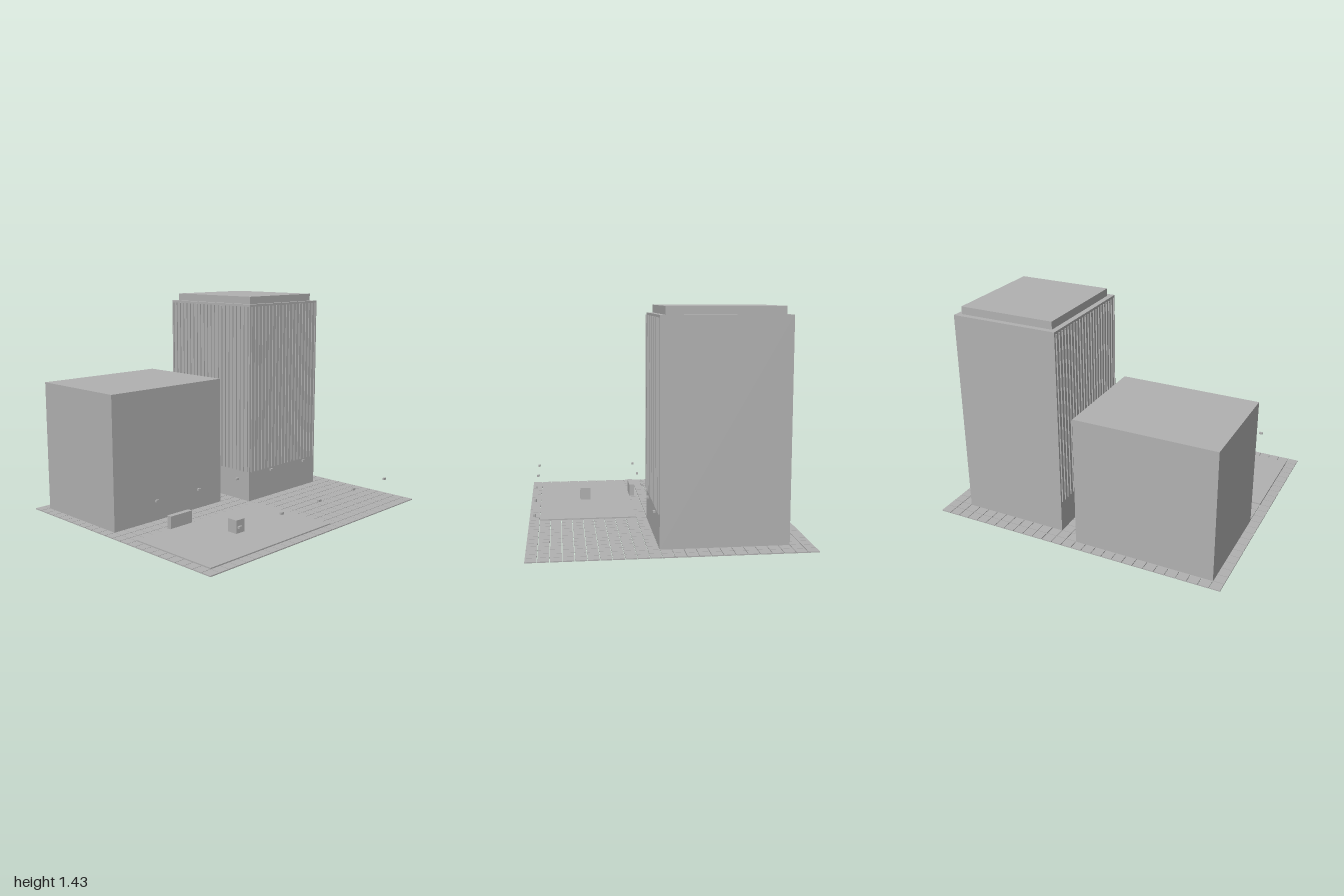
import * as THREE from 'three';
import { mergeGeometries } from 'three/addons/utils/BufferGeometryUtils.js';

// Box geometry from its minimum and maximum corners
function span(x0, x1, y0, y1, z0, z1) {
  return new THREE.BoxGeometry(x1 - x0, y1 - y0, z1 - z0)
    .translate((x0 + x1) / 2, (y0 + y1) / 2, (z0 + z1) / 2);
}

export function createModel() {
  const model = new THREE.Group();
  model.name = 'cityPlaza';
  const concrete = new THREE.MeshStandardMaterial({ color: 0xb2b2b2 });
  concrete.name = 'concreteGrey';

  const add = (name, geometry) => {
    const mesh = new THREE.Mesh(geometry, concrete);
    mesh.name = name;
    model.add(mesh);
  };

  // Paving: 28 x 24 square tiles with narrow open joints
  const u = 1 / 14;
  const half = u / 2 - 0.002;
  const tiles = [];
  for (let i = 0; i < 28; i++) {
    for (let j = 0; j < 24; j++) {
      const x = (i - 13.5) * u, z = (j - 11.5) * u;
      tiles.push(span(x - half, x + half, 0, 0.007, z - half, z + half));
    }
  }
  add('pavingTiles', mergeGeometries(tiles));

  // Buildings and raised platform
  add('lowBuilding', span(-13 * u, 0, 0.002, 0.877, -11 * u, -u));
  add('tower', span(2 * u, 12 * u, 0.002, 1.38, -10 * u, u));
  add('towerRoofCap', span(2.5 * u, 11.5 * u, 1.38, 1.43, -9.5 * u, 0.5 * u));
  add('platform', span(-13 * u, 2 * u, 0.002, 0.014, 2 * u, 11 * u));

  // Vertical fins on the tower's front and on its side facing the low building
  const fins = [];
  const pitch = u / 2, w = 0.0035;
  for (let i = 0; i < 20; i++) {
    const x = 2 * u + (i + 0.5) * pitch;
    fins.push(span(x - w, x + w, 0.215, 1.365, u - 0.004, u + 0.008));
  }
  for (let i = 0; i < 22; i++) {
    const z = -10 * u + (i + 0.5) * pitch;
    fins.push(span(2 * u - 0.008, 2 * u + 0.004, 0.215, 1.365, z - w, z + w));
  }
  add('towerFins', mergeGeometries(fins));

  // Plaza furniture
  add('signWall', span(-9 * u, -6.5 * u, 0.002, 0.092, 0.1, 0.136));
  add('pedestal', span(-6 * u, -5 * u, 0.014, 0.1, 6 * u, 7 * u));

  // Two rows of floating lamp heads
  for (const z of [0.089, 0.804]) {
    for (let i = -2; i <= 2; i++) {
      const x = i * 5 * u;
      add('lampHead', span(x - 0.012, x + 0.012, 0.193, 0.207, z - 0.007, z + 0.007));
    }
  }
  return model;
}
